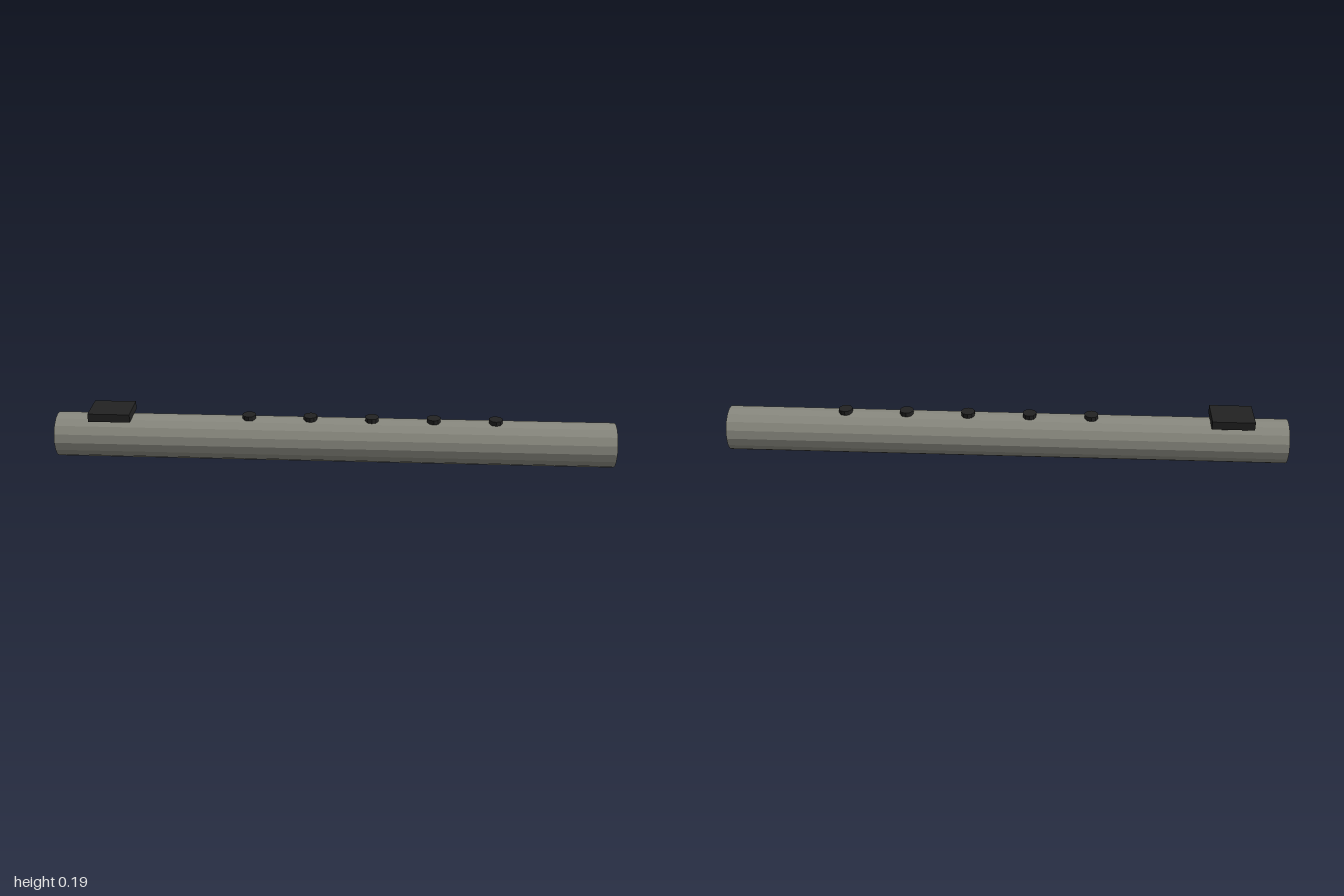
import * as THREE from 'three';

export function createModel() {
  const model = new THREE.Group();
  model.name = 'flute';

  const tubeMaterial = new THREE.MeshStandardMaterial({ color: 0x8a8a80 });
  tubeMaterial.name = 'dull grey metal';
  tubeMaterial.flatShading = true;
  const darkMaterial = new THREE.MeshStandardMaterial({ color: 0x222222 });
  darkMaterial.name = 'black';
  darkMaterial.flatShading = true;

  const add = (name, geometry, material, x, y) => {
    const mesh = new THREE.Mesh(geometry, material);
    mesh.name = name;
    mesh.position.set(x, y, 0);
    model.add(mesh);
    return mesh;
  };

  // Faceted tube lying along x, closed at both ends
  const radius = 0.08;
  add('tube', new THREE.CylinderGeometry(radius, radius, 2, 16).rotateZ(Math.PI / 2), tubeMaterial, 0, radius);

  // Mouthpiece plate near the right end
  add('mouthpiece', new THREE.BoxGeometry(0.15, 0.03, 0.12), darkMaterial, -0.8, 0.172);

  // Row of five finger keys
  const keyGeometry = new THREE.CylinderGeometry(0.025, 0.025, 0.016, 10);
  for (let i = 0; i < 5; i++) {
    add(`fingerKey${i + 1}`, keyGeometry, darkMaterial, -0.304 + i * 0.22, 0.164);
  }

  return model;
}
